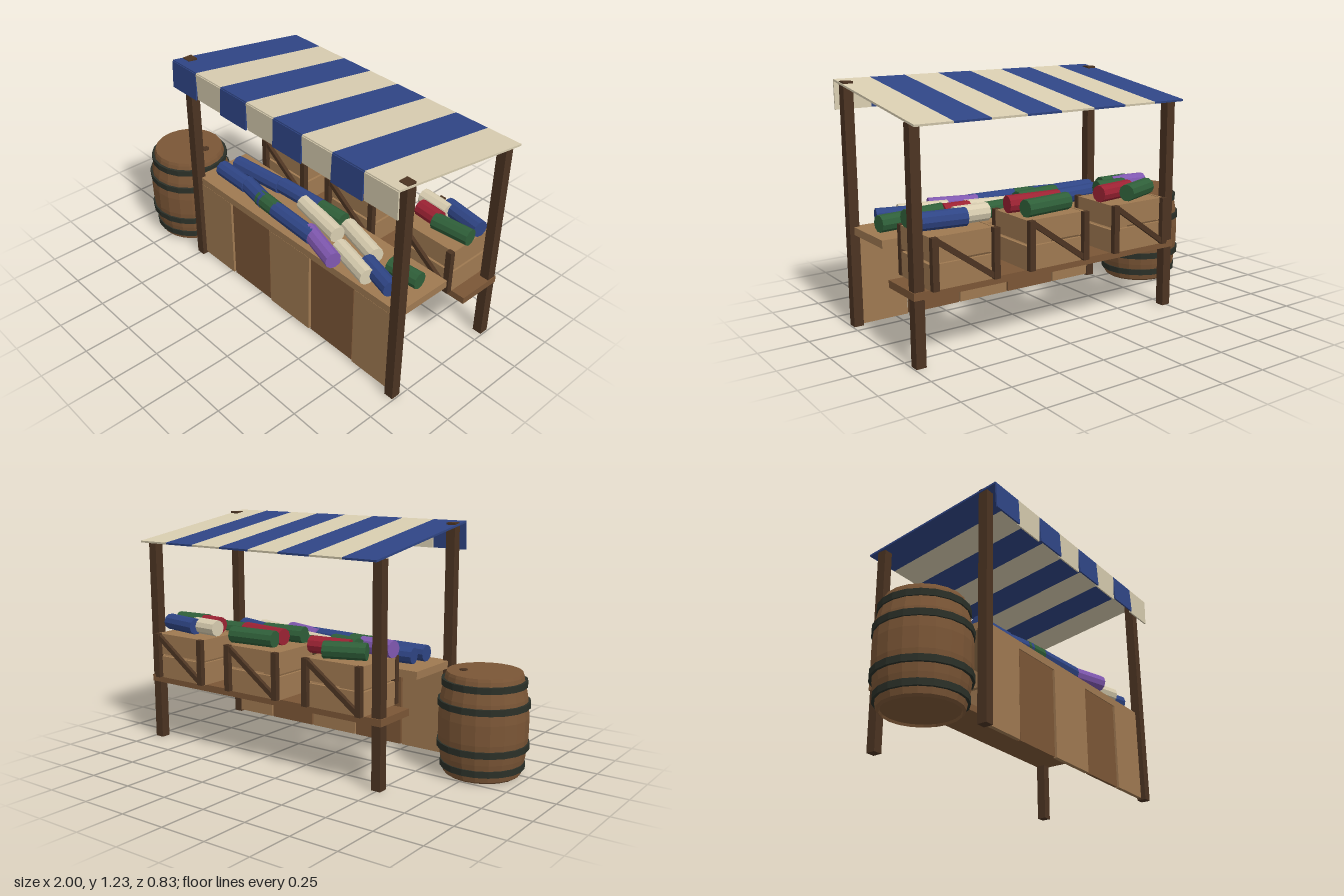
import * as THREE from 'three';

const mat = (name, color, extra) => {
  const m = new THREE.MeshStandardMaterial({ color, ...extra });
  m.name = name;
  return m;
};

export function createModel() {
  const root = new THREE.Group();
  root.name = 'marketStall';
  const flat = { flatShading: true };
  const M = {
    tan: mat('light wood', 0x9f7951),
    mid: mat('medium wood', 0x7b5636),
    dark: mat('dark wood', 0x4c3422),
    iron: mat('iron', 0x2b3028),
    blue: mat('blue cloth', 0x2f4585, flat),
    cream: mat('cream cloth', 0xd8cdb0, flat),
    green: mat('green cloth', 0x2f5f39, flat),
    red: mat('red cloth', 0x9c2233, flat),
    purple: mat('purple cloth', 0x8058b0, flat),
  };
  M.mid.flatShading = M.iron.flatShading = true;

  const add = (name, geo, material, x, y, z, parent = root) => {
    const mesh = new THREE.Mesh(geo, material);
    mesh.name = name;
    mesh.position.set(x, y, z);
    parent.add(mesh);
    return mesh;
  };
  // box given by its ranges
  const box = (name, m, x0, x1, y0, y1, z0, z1, parent) =>
    add(name, new THREE.BoxGeometry(x1 - x0, y1 - y0, z1 - z0), m,
      (x0 + x1) / 2, (y0 + y1) / 2, (z0 + z1) / 2, parent);
  const group = (name) => {
    const g = new THREE.Group();
    g.name = name;
    root.add(g);
    return g;
  };

  // posts
  for (const x of [-0.497, 0.968]) {
    box('frontPost', M.dark, x - 0.025, x + 0.025, 0, 1.222, 0.3, 0.35);
    box('backPost', M.dark, x - 0.025, x + 0.025, 0, 1.1, -0.355, -0.305);
  }

  // counter and front panels
  box('counterTop', M.tan, -0.5, 0.97, 0.472, 0.512, -0.005, 0.323);
  for (let i = 0; i < 5; i++) {
    const x = -0.373 + i * 0.304, odd = i % 2;
    box('frontPanel', odd ? M.mid : M.tan, Math.max(x - 0.147, -0.5), Math.min(x + 0.147, 0.97),
      0.01, 0.472, 0.302, odd ? 0.318 : 0.324);
  }

  // rear shelf
  box('rearShelf', M.mid, -0.527, 0.997, 0.32, 0.356, -0.36, -0.115);

  // sloping striped awning with hanging valance
  const awning = group('awning');
  const zf = 0.405, zb = -0.408, yf = 1.222, yb = 1.097;
  const slope = Math.atan2(yf - yb, zf - zb), len = Math.hypot(yf - yb, zf - zb);
  const w = 1.525 / 8;
  for (let i = 0; i < 8; i++) {
    const m = i % 2 ? M.cream : M.blue, x = -0.528 + (i + 0.5) * w;
    add('awningStripe', new THREE.BoxGeometry(w, 0.01, len), m, x, (yf + yb) / 2, (zf + zb) / 2, awning)
      .rotation.x = -slope;
    const flap = new THREE.BoxGeometry(w, 0.142, 0.008).translate(0, -0.071, 0);
    add('valanceFlap', flap, m, x, 1.221, 0.405, awning).rotation.x = i % 2 ? 0.03 : -0.05;
  }

  // slatted crates
  for (const cx of [-0.267, 0.24, 0.752]) {
    const crate = group('crate');
    const x0 = cx - 0.17, x1 = cx + 0.17, z0 = -0.38, z1 = -0.1;
    for (const [y0, y1] of [[0.366, 0.475], [0.488, 0.6]]) {
      for (const x of [x0, x1 - 0.015]) box('sideSlat', M.tan, x, x + 0.015, y0, y1, z0, z1, crate);
      for (const z of [z0, z1 - 0.015]) box('endSlat', M.tan, x0 + 0.015, x1 - 0.015, y0, y1, z, z + 0.015, crate);
    }
    box('crateFloor', M.tan, x0, x1, 0.357, 0.366, z0, z1, crate);
    box('crateLid', M.tan, x0 + 0.015, x1 - 0.015, 0.585, 0.598, z0 + 0.015, z1 - 0.015, crate);
    for (const [z, dir] of [[-0.392, 1], [-0.09, -1]]) {
      for (const x of [x0 + 0.012, x1 - 0.012])
        box('cornerBatten', M.dark, x - 0.016, x + 0.016, 0.36, 0.602, z - 0.014, z + 0.014, crate);
      add('diagonalBrace', new THREE.BoxGeometry(0.36, 0.026, 0.02), M.dark, cx, 0.481, z, crate)
        .rotation.z = dir * 0.62;
    }
  }

  // cloth rolls: colour, start x/z, end x/z
  const rolls = (name, y, list) => {
    const g = group(name);
    for (const [color, ax, az, bx, bz] of list) {
      const L = Math.hypot(bx - ax, bz - az);
      const geo = new THREE.CylinderGeometry(0.043, 0.043, L, 10).rotateZ(Math.PI / 2);
      add(color + 'Roll', geo, M[color], (ax + bx) / 2, y, (az + bz) / 2, g)
        .rotation.y = -Math.atan2(bz - az, bx - ax);
    }
  };
  rolls('counterRolls', 0.556, [
    ['blue', -0.42, 0.22, -0.2, 0.225],
    ['blue', -0.22, 0.215, -0.03, 0.25],
    ['green', -0.07, 0.245, 0.07, 0.255],
    ['blue', 0.06, 0.255, 0.35, 0.27],
    ['purple', 0.3, 0.25, 0.55, 0.322],
    ['cream', 0.49, 0.225, 0.74, 0.287],
    ['blue', 0.66, 0.21, 0.87, 0.268],
    ['green', 0.75, 0.145, 0.92, 0.13],
    ['blue', -0.4, 0.13, -0.08, 0.1],
    ['blue', -0.08, 0.09, 0.2, 0.075],
    ['green', 0.2, 0.075, 0.36, 0.07],
    ['cream', 0.11, 0.11, 0.42, 0.17],
    ['cream', 0.4, 0.08, 0.66, 0.15],
  ]);
  rolls('crateRolls', 0.65, [
    ['purple', -0.47, -0.17, -0.28, -0.145],
    ['green', -0.38, -0.14, -0.21, -0.14],
    ['green', -0.3, -0.22, -0.14, -0.2],
    ['red', -0.29, -0.27, -0.075, -0.3],
    ['green', -0.4, -0.29, -0.2, -0.365],
    ['green', 0.09, -0.145, 0.33, -0.17],
    ['red', 0.14, -0.25, 0.42, -0.22],
    ['green', 0.14, -0.32, 0.4, -0.345],
    ['red', 0.62, -0.2, 0.75, -0.19],
    ['cream', 0.57, -0.28, 0.74, -0.27],
    ['green', 0.74, -0.17, 0.94, -0.19],
    ['blue', 0.7, -0.31, 0.93, -0.275],
  ]);

  // barrel with iron hoops
  const barrel = group('barrel');
  barrel.position.set(-0.77, 0, 0.19);
  const profile = [[0, 0.012], [0.175, 0.012], [0.18, 0], [0.193, 0.01], [0.212, 0.1], [0.224, 0.2], [0.225, 0.3],
    [0.216, 0.4], [0.193, 0.505], [0.187, 0.52], [0, 0.52]].map(([r, y]) => new THREE.Vector2(r, y));
  add('staves', new THREE.LatheGeometry(profile, 20), M.mid, 0, 0, 0, barrel);
  for (const [y, r] of [[0.055, 0.212], [0.155, 0.23], [0.365, 0.229], [0.468, 0.212]])
    add('hoop', new THREE.CylinderGeometry(r, r, 0.032, 20), M.iron, 0, y, 0, barrel);
  add('bung', new THREE.CylinderGeometry(0.02, 0.02, 0.008, 10), M.dark, 0.09, 0.522, -0.05, barrel);

  return root;
}
